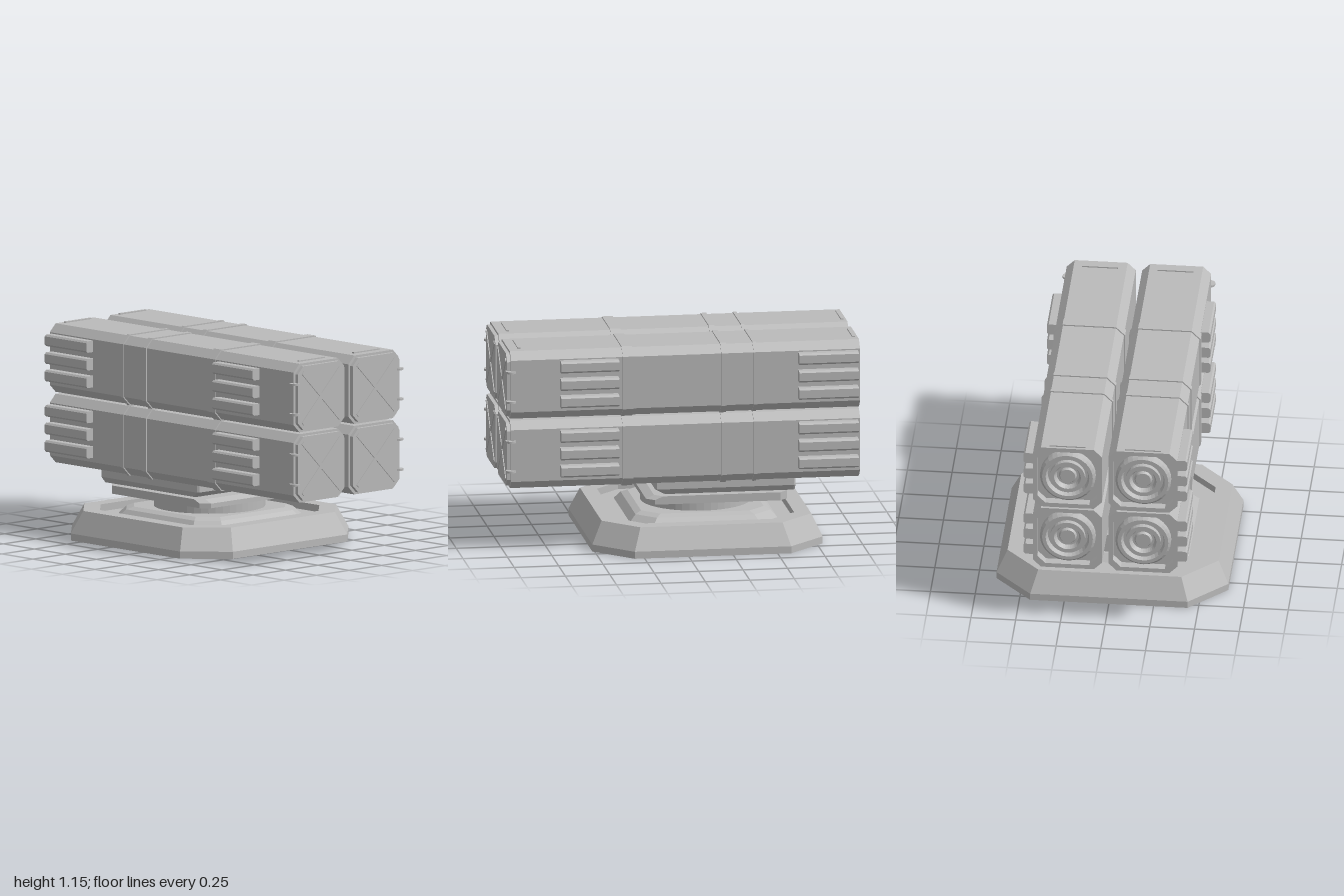
import * as THREE from 'three';

const grey = new THREE.MeshStandardMaterial({ color: 0xbababa, flatShading: true });
grey.name = 'grey metal';

function add(parent, name, geometry, x = 0, y = 0, z = 0) {
  const mesh = new THREE.Mesh(geometry, grey);
  mesh.name = name;
  mesh.position.set(x, y, z);
  parent.add(mesh);
  return mesh;
}

// Corner points of a rectangle with cut corners, counter-clockwise
function cutRect(x0, x1, y0, y1, c) {
  return [
    [x1, y0 + c], [x1, y1 - c], [x1 - c, y1], [x0 + c, y1],
    [x0, y1 - c], [x0, y0 + c], [x0 + c, y0], [x1 - c, y0],
  ].map(([x, y]) => new THREE.Vector2(x, y));
}

// Cut-corner bar running along x from x0 to x1, optionally hollow
function barX(x0, x1, hz, hy, c, hole) {
  const shape = new THREE.Shape(cutRect(-hz, hz, -hy, hy, c));
  if (hole) shape.holes.push(new THREE.Path(cutRect(-hole, hole, -hole, hole, c)));
  const g = new THREE.ExtrudeGeometry(shape, { depth: x1 - x0, bevelEnabled: false });
  return g.rotateY(Math.PI / 2).translate(x0, 0, 0);
}

// Stacked cut-corner outlines, each [x0, x1, half depth, corner cut, y], closed at both ends
function loft(rings) {
  const pos = [];
  const loops = rings.map(([x0, x1, z, c, y]) =>
    cutRect(x0, x1, -z, z, c).map((p) => [p.x, y, -p.y]));
  const tri = (...pts) => pts.forEach((p) => pos.push(...p));
  const n = 8;
  for (let i = 0; i < loops.length - 1; i++) {
    for (let j = 0; j < n; j++) {
      const k = (j + 1) % n, lo = loops[i], hi = loops[i + 1];
      tri(lo[j], lo[k], hi[k]);
      tri(lo[j], hi[k], hi[j]);
    }
  }
  const first = loops[0], last = loops[loops.length - 1];
  for (let j = 1; j < n - 1; j++) {
    tri(first[0], first[j + 1], first[j]);
    tri(last[0], last[j], last[j + 1]);
  }
  const g = new THREE.BufferGeometry();
  g.setAttribute('position', new THREE.Float32BufferAttribute(pos, 3));
  g.computeVertexNormals();
  return g;
}

function createBase() {
  const base = new THREE.Group();
  base.name = 'base';
  const cx = -0.135;
  const ring = (h, side, y) => [cx - h, cx + h, h, h - side, y];

  // Sloped footing with a groove around a raised centre
  add(base, 'footing', loft([
    ring(0.648, 0.44, 0), ring(0.648, 0.44, 0.04), ring(0.59, 0.4, 0.165),
    ring(0.5, 0.36, 0.165), ring(0.5, 0.36, 0.125), ring(0.415, 0.3, 0.125),
    ring(0.38, 0.275, 0.165), ring(0.345, 0.25, 0.18),
  ]));
  add(base, 'turntable', new THREE.CylinderGeometry(0.31, 0.31, 0.07, 48), cx, 0.205, 0);
  add(base, 'turntablePlate', loft([
    [-0.605, 0.19, 0.345, 0.045, 0.232], [-0.605, 0.19, 0.345, 0.045, 0.258],
    [-0.605, 0.145, 0.345, 0.045, 0.278],
  ]));
  for (const s of [-1, 1]) {
    add(base, 'spacer', new THREE.BoxGeometry(0.6, 0.03, 0.095), -0.25, 0.28, s * 0.183);
  }
  add(base, 'cradle', loft([
    [-0.645, 0.09, 0.325, 0.01, 0.286], [-0.645, 0.145, 0.355, 0.01, 0.32],
    [-0.645, 0.145, 0.355, 0.01, 0.365],
  ]));
  return base;
}

// One launch canister; side is the direction of its outer face along z
function createCanister(side) {
  const can = new THREE.Group();
  can.name = 'canister';
  add(can, 'body', barX(-0.95, 0.965, 0.193, 0.193, 0.045));
  add(can, 'rearRim', barX(-1, -0.95, 0.193, 0.193, 0.045, 0.168));

  // Front cover with crossed ribs
  add(can, 'frontCover', barX(0.965, 0.986, 0.18, 0.18, 0.042));
  for (const s of [-1, 1]) {
    const rib = add(can, 'coverRib', new THREE.BoxGeometry(0.008, 0.41, 0.022), 0.987, 0, 0);
    rib.rotation.x = s * Math.PI / 4;
  }

  // Raised bands around the body
  for (const [a, b] of [[-0.42, -0.4], [-0.25, -0.218], [0.277, 0.337]]) {
    add(can, 'band', barX(a, b, 0.2, 0.2, 0.05));
  }

  // Nested exhaust rings and nozzle at the rear
  const profile = [
    [0.155, 0], [0.155, 0.03], [0.142, 0.042], [0.122, 0.042], [0.112, 0.012],
    [0.098, 0.012], [0.098, 0.04], [0.075, 0.04], [0.062, 0.014], [0.05, 0.014],
    [0.042, 0.028], [0, 0.028],
  ].map(([r, h]) => new THREE.Vector2(r, h));
  const exhaust = add(can, 'exhaust', new THREE.LatheGeometry(profile, 32), -0.952, 0, 0);
  exhaust.rotation.z = Math.PI / 2;

  // Rows of ribs on the outer face
  for (const [a, b] of [[-0.985, -0.65], [0.363, 0.69]]) {
    for (const y of [0.109, 0.009, -0.09]) {
      add(can, 'sideRib', barX(a, b, 0.033, 0.0325, 0.01), 0, y, side * 0.213);
    }
  }
  // Cover latches
  for (const y of [0.082, -0.088]) {
    add(can, 'latch', new THREE.CylinderGeometry(0.03, 0.03, 0.012, 16), 0.966, y, side * 0.186);
  }
  // Raised strips on top
  for (const x of [-0.977, 0.905]) {
    add(can, 'topStrip', new THREE.BoxGeometry(0.015, 0.014, 0.2), x, 0.193, 0);
  }
  return can;
}

export function createModel() {
  const model = new THREE.Group();
  model.name = 'launcher';
  model.add(createBase());
  for (const side of [-1, 1]) {
    for (const y of [0.553, 0.95]) {
      const can = createCanister(side);
      can.position.set(0, y, side * 0.211);
      model.add(can);
    }
  }
  return model;
}
